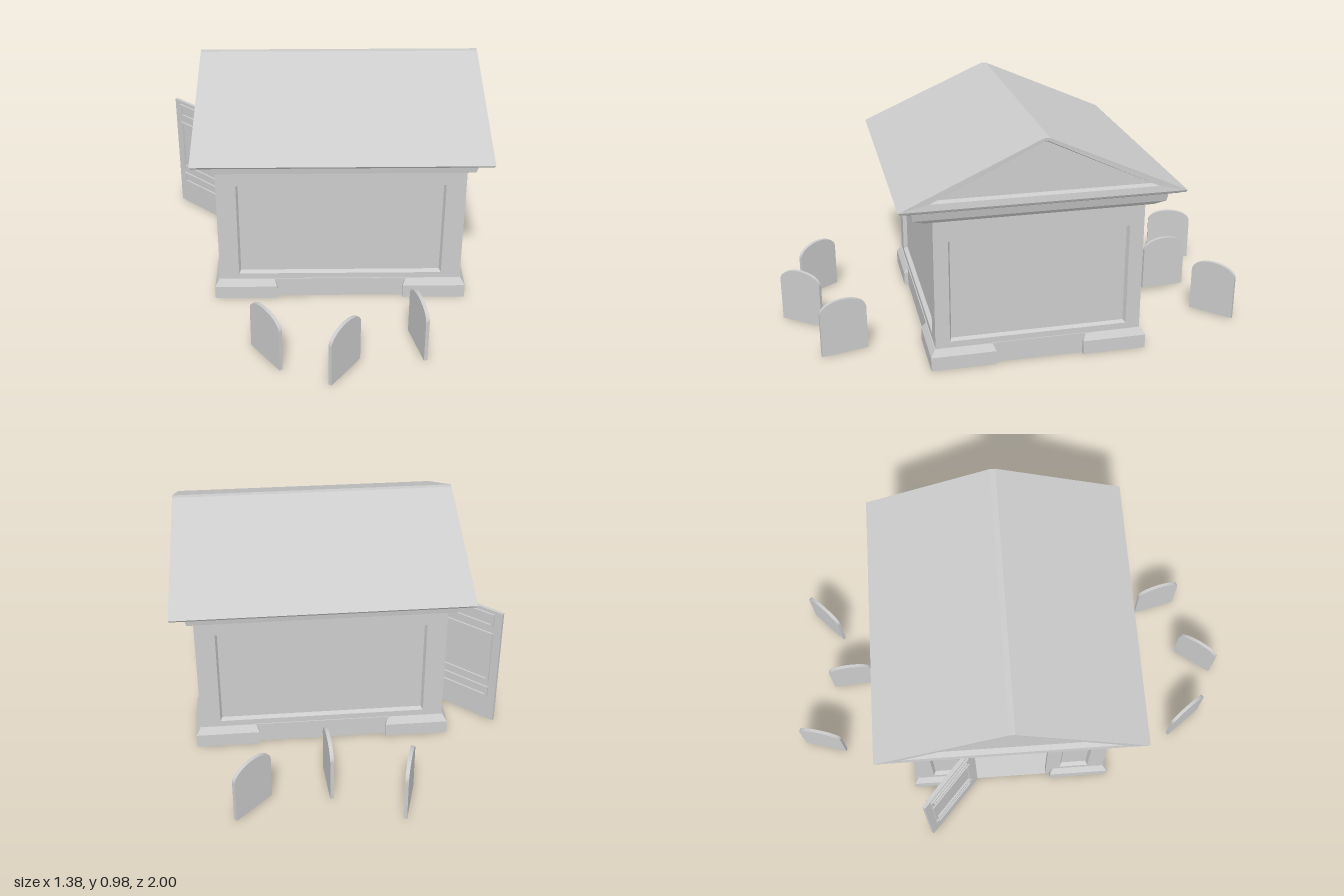
import * as THREE from 'three';

const material = new THREE.MeshStandardMaterial({ color: 0xcccccc, flatShading: true, side: THREE.DoubleSide });

function add(parent, geometry, name, x = 0, y = 0, z = 0) {
  const mesh = new THREE.Mesh(geometry, material);
  mesh.name = name;
  mesh.position.set(x, y, z);
  parent.add(mesh);
  return mesh;
}

// Skin over cross-sections, counter-clockwise about the direction of travel
function loft(rings, capStart = false, capEnd = false) {
  const out = [];
  const tri = (a, b, c) => out.push(...a, ...b, ...c);
  const n = rings[0].length;
  for (let r = 0; r < rings.length - 1; r++) {
    for (let i = 0; i < n; i++) {
      const j = (i + 1) % n, lo = rings[r], hi = rings[r + 1];
      tri(lo[i], lo[j], hi[j]);
      tri(lo[i], hi[j], hi[i]);
    }
  }
  const first = rings[0], last = rings[rings.length - 1];
  for (let i = 1; i < n - 1; i++) {
    if (capStart) tri(first[0], first[i + 1], first[i]);
    if (capEnd) tri(last[0], last[i], last[i + 1]);
  }
  const g = new THREE.BufferGeometry();
  g.setAttribute('position', new THREE.Float32BufferAttribute(out, 3));
  g.computeVertexNormals();
  return g;
}

const polygon = (pts) => new THREE.Shape(pts.map(([x, y]) => new THREE.Vector2(x, y)));
const rect = (x0, x1, y0, y1) => [[x0, y0], [x1, y0], [x1, y1], [x0, y1]];
const atZ = (pts, z) => pts.map(([x, y]) => [x, y, z]);
const level = (hx, hz, y) => [[hx, y, hz], [hx, y, -hz], [-hx, y, -hz], [-hx, y, hz]];

const HX = 0.52, HZ = 0.432, WALL_H = 0.65;
const DOOR_W = 0.33, DOOR_H = 0.56;

// One wall facing +z, with sunken panels and optionally a doorway
function makeWall(name, half, panels, doorway) {
  const wall = new THREE.Group();
  wall.name = name;
  const d = DOOR_W / 2;
  const outline = doorway
    ? [[-half, 0], [-d, 0], [-d, DOOR_H], [d, DOOR_H], [d, 0], [half, 0], [half, WALL_H], [-half, WALL_H]]
    : rect(-half, half, 0, WALL_H);
  const face = polygon(outline);
  for (const [x0, x1] of panels) {
    const y0 = 0.115, y1 = 0.555, s = 0.008;
    const edge = rect(x0, x1, y0, y1);
    face.holes.push(polygon(edge));
    const inner = rect(x0 + s, x1 - s, y0 + s, y1 - s);
    add(wall, loft([atZ(edge, 0), atZ(inner, -0.018)], false, true), 'sunkenPanel');
  }
  add(wall, new THREE.ShapeGeometry(face), 'wallFace');
  if (doorway) {
    const opening = rect(-d, d, 0, DOOR_H);
    add(wall, loft([atZ(opening, 0), atZ(opening, -0.02)]), 'doorJamb');
  } else {
    add(wall, new THREE.BoxGeometry(2 * (half - 0.23), 0.09, 0.008), 'baseStrip', 0, 0.045, 0);
  }
  return wall;
}

// L-shaped plinth block with a sloped top
function plinthGeometry() {
  const t = 0.02;
  const ring = (p, L, y) => [[-t, -t], [-L, -t], [-L, p], [p, p], [p, -L], [-t, -L]].map(([x, z]) => [x, y, z]);
  return loft([ring(0.022, 0.247, 0), ring(0.022, 0.247, 0.06), ring(0.003, 0.235, 0.088)], true, true);
}

// Door with raised panel frames on both faces, hinged at its local x = 0
function makeDoor() {
  const door = new THREE.Group();
  door.name = 'door';
  add(door, new THREE.BoxGeometry(DOOR_W, DOOR_H, 0.014), 'doorLeaf', DOOR_W / 2, DOOR_H / 2, 0);
  for (const [y0, y1] of [[0.115, 0.17], [0.2, 0.45], [0.48, 0.545]]) {
    const x0 = 0.045, x1 = 0.295, w = 0.012;
    const frame = polygon(rect(x0, x1, y0, y1));
    frame.holes.push(polygon(rect(x0 + w, x1 - w, y0 + w, y1 - w)));
    const g = new THREE.ExtrudeGeometry(frame, { depth: 0.03, bevelEnabled: false });
    add(door, g, 'doorPanelFrame', 0, 0, -0.015);
  }
  return door;
}

// Gable roof whose ends have a flat rim around a sunken triangle
function roofGeometry() {
  const section = (xTop, xBase, hz, yBase, topZ, yTop) => [
    [xTop, yTop, -topZ], [xTop, yTop, topZ], [xBase, yBase, hz], [xBase, yBase, -hz]];
  const outer = (s) => section(s * 0.592, s * 0.606, 0.573, 0.724, 0.012, 0.975);
  const rim = (s) => section(s * 0.591, s * 0.603, 0.455, 0.75, 0.006, 0.963);
  const inner = (s) => section(s * 0.575, s * 0.58, 0.44, 0.756, 0.005, 0.957);
  return loft([inner(-1), rim(-1), outer(-1), outer(1), rim(1), inner(1)], true, true);
}

function headstoneGeometry() {
  const w = 0.1, t = 0.015;
  const s = new THREE.Shape();
  s.moveTo(-w, 0);
  s.lineTo(w, 0);
  s.lineTo(w, 0.19);
  s.absellipse(0, 0.19, w, 0.055, 0, Math.PI, false);
  s.lineTo(-w, 0);
  const g = new THREE.ExtrudeGeometry(s, { depth: t, bevelEnabled: false, curveSegments: 10 });
  return g.translate(0, 0, -t / 2);
}

export function createModel() {
  const model = new THREE.Group();
  model.name = 'tombHouse';
  const building = new THREE.Group();
  building.name = 'building';
  building.position.set(0.082, 0, -0.027);
  model.add(building);

  // Walls
  const walls = [
    ['frontWall', HX, [[-0.437, 0.437]], false, 0, 0, HZ],
    ['leftWall', HZ, [[-0.372, 0.372]], false, Math.PI / 2, HX, 0],
    ['backWall', HX, [[-0.437, 0.437]], false, Math.PI, 0, -HZ],
    ['doorWall', HZ, [[-0.36, -0.23], [0.23, 0.36]], true, -Math.PI / 2, -HX, 0],
  ];
  for (const [name, half, panels, doorway, turn, x, z] of walls) {
    const wall = makeWall(name, half, panels, doorway);
    wall.rotation.y = turn;
    wall.position.set(x, 0, z);
    building.add(wall);
  }

  // Underside and corner plinths
  add(building, new THREE.PlaneGeometry(2 * HX, 2 * HZ), 'floor', 0, 0.002, 0).rotation.x = Math.PI / 2;
  const plinth = plinthGeometry();
  [[1, 1], [1, -1], [-1, -1], [-1, 1]].forEach(([sx, sz], i) => {
    add(building, plinth, 'cornerPlinth', sx * HX, 0, sz * HZ).rotation.y = i * Math.PI / 2;
  });

  // Cornice and roof
  const cornice = [
    [HX, HZ, 0.645], [0.53, 0.465, 0.645], [0.541, 0.512, 0.66], [0.552, 0.518, 0.704],
    [0.585, 0.545, 0.707], [0.59, 0.555, 0.711], [0.601, 0.566, 0.715], [0.606, 0.573, 0.724],
  ];
  add(building, loft(cornice.map((c) => level(...c))), 'cornice');
  add(building, roofGeometry(), 'roof');

  // Door standing open
  const door = makeDoor();
  door.position.set(-0.52, 0, -DOOR_W / 2);
  door.rotation.y = 2.41;
  building.add(door);

  // Headstones, placed by the two ends of each slab: x, z, x, z
  const stones = [
    [-0.283, 0.745, -0.167, 0.9], [0.028, 0.99, 0.143, 0.835], [0.367, 0.66, 0.413, 0.85],
    [-0.254, -0.81, -0.2, -0.997], [0.077, -0.86, 0.09, -0.66], [0.325, -0.81, 0.463, -0.943],
  ];
  const stone = headstoneGeometry();
  for (const [x0, z0, x1, z1] of stones) {
    const mesh = add(model, stone, 'headstone', (x0 + x1) / 2, 0.004, (z0 + z1) / 2);
    mesh.rotation.y = Math.atan2(z0 - z1, x1 - x0);
  }
  return model;
}
